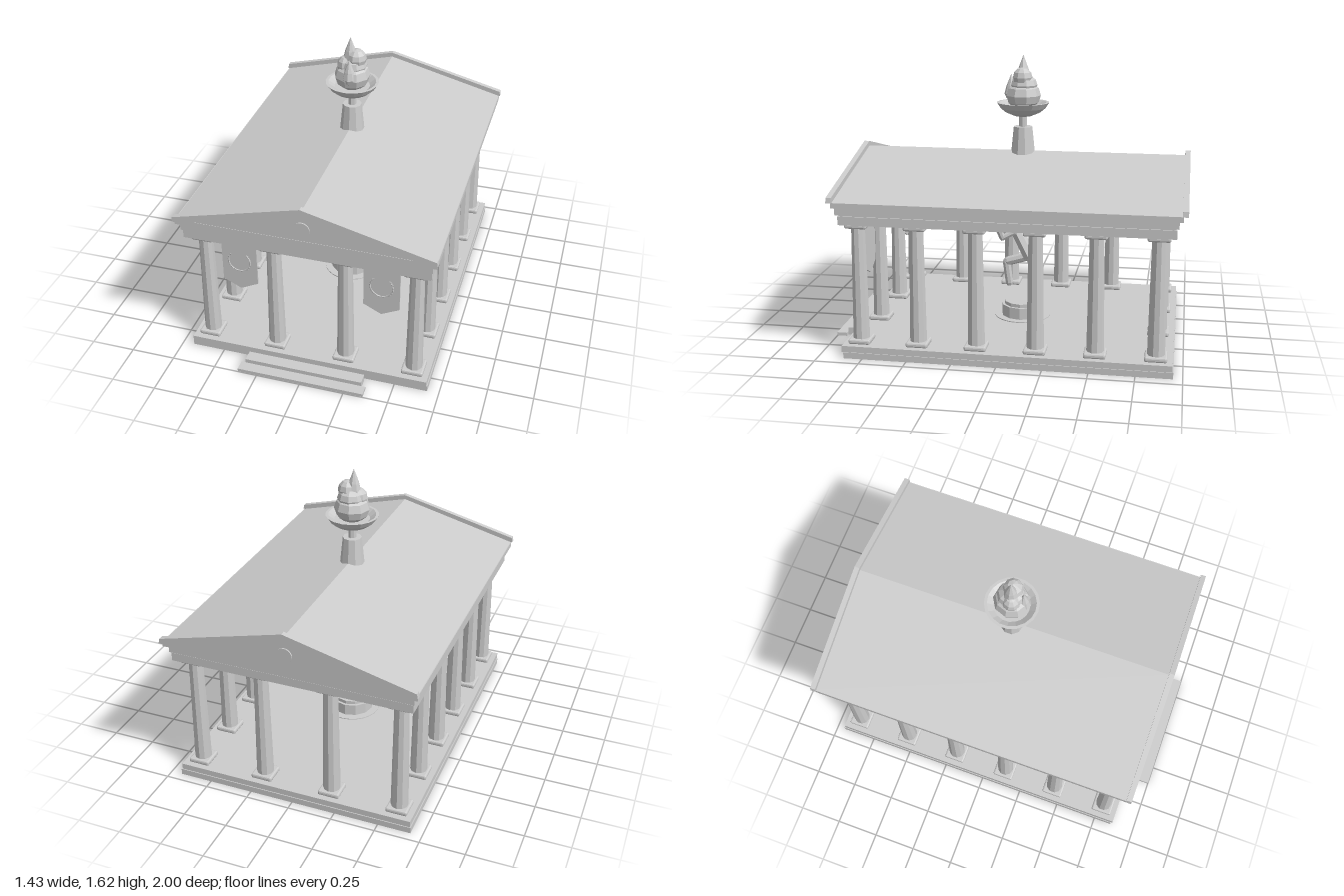
import * as THREE from 'three';
import { RoundedBoxGeometry } from 'three/addons/geometries/RoundedBoxGeometry.js';

export function createModel() {
  const model = new THREE.Group();
  model.name = 'temple';
  const stone = new THREE.MeshStandardMaterial({ color: 0xcccccc, flatShading: true });
  stone.name = 'pale stone';
  const stoneOpen = stone.clone();
  stoneOpen.side = THREE.DoubleSide;

  const add = (name, geometry, x = 0, y = 0, z = 0, parent = model, material = stone) => {
    const mesh = new THREE.Mesh(geometry, material);
    mesh.name = name;
    mesh.position.set(x, y, z);
    parent.add(mesh);
    return mesh;
  };
  // Box given by half width, y range and z range
  const slab = (name, hw, y0, y1, z0, z1) =>
    add(name, new THREE.BoxGeometry(hw * 2, y1 - y0, z1 - z0), 0, (y0 + y1) / 2, (z0 + z1) / 2);
  const drum = (name, rTop, rBottom, y0, y1, z, sides, parent = model) =>
    add(name, new THREE.CylinderGeometry(rTop, rBottom, y1 - y0, sides), 0, (y0 + y1) / 2, z, parent);
  // Outline extruded along +z
  const extrude = (points, depth) => new THREE.ExtrudeGeometry(
    new THREE.Shape(points.map(p => new THREE.Vector2(...p))), { depth, bevelEnabled: false });
  // Tapered or rounded limb between two points
  const limb = (name, a, b, r, parent, rounded = true) => {
    const from = new THREE.Vector3(...a), to = new THREE.Vector3(...b);
    const len = from.distanceTo(to);
    const geo = rounded ? new THREE.CapsuleGeometry(r, len, 2, 8)
      : new THREE.CylinderGeometry(r * 0.8, r, len, 8);
    const mesh = add(name, geo, 0, 0, 0, parent);
    mesh.position.copy(from).lerp(to, 0.5);
    mesh.quaternion.setFromUnitVectors(new THREE.Vector3(0, 1, 0), to.sub(from).normalize());
    return mesh;
  };

  // Platform and front steps
  slab('lowerPlatform', 0.685, 0, 0.035, -0.95, 0.855);
  slab('upperPlatform', 0.68, 0.035, 0.07, -0.945, 0.865);
  slab('lowerStep', 0.36, 0.003, 0.022, 0.94, 1);
  slab('upperStep', 0.335, 0.003, 0.046, 0.875, 0.94);

  // Columns around the edge
  const xs = [-0.59, -0.2, 0.2, 0.59];
  const zs = [0.775, 0.449, 0.123, -0.203, -0.529, -0.855];
  const shaftGeo = new THREE.CylinderGeometry(0.039, 0.048, 0.64, 10);
  const plateGeo = new RoundedBoxGeometry(0.122, 0.028, 0.122, 1, 0.009);
  zs.forEach((z, row) => xs.forEach((x, col) => {
    const endRow = row === 0 || row === zs.length - 1;
    if (!endRow && (col === 1 || col === 2)) return;
    const column = new THREE.Group();
    column.name = 'column';
    column.position.set(x, 0, z);
    model.add(column);
    add('columnBase', plateGeo, 0, 0.084, 0, column);
    add('columnShaft', shaftGeo, 0, 0.415, 0, column);
    add('columnCapital', plateGeo, 0, 0.746, 0, column);
  }));

  // Entablature
  slab('architrave', 0.68, 0.76, 0.808, -0.945, 0.86);
  slab('friezeReveal', 0.672, 0.808, 0.816, -0.94, 0.855);
  slab('frieze', 0.687, 0.816, 0.858, -0.955, 0.873);
  slab('cornice', 0.71, 0.858, 0.888, -0.975, 0.887);

  // Roof, raking cornices and round pediment medallions
  add('roof', extrude([[-0.706, 0.888], [0.706, 0.888], [0, 1.07]], 1.86), 0, 0, -0.975);
  const rake = extrude([[-0.717, 0.888], [-0.66, 0.888], [0, 1.062], [0.66, 0.888],
    [0.717, 0.888], [0.712, 0.916], [0, 1.097], [-0.712, 0.916]], 0.03);
  add('frontRakingCornice', rake, 0, 0, 0.88);
  add('backRakingCornice', rake, 0, 0, -1);
  for (const z of [0.885, -0.975]) {
    add('medallion', new THREE.CylinderGeometry(0.044, 0.044, 0.014, 20), 0, 0.96, z)
      .rotation.x = Math.PI / 2;
  }

  // Banners with open wreaths
  const bannerGeo = extrude([[-0.1, 0.75], [-0.1, 0.465], [0, 0.415], [0.1, 0.465], [0.1, 0.75]], 0.009);
  for (const x of [-0.4, 0.4]) {
    const banner = new THREE.Group();
    banner.name = 'banner';
    banner.position.set(x, 0, 0.771);
    model.add(banner);
    add('bannerCloth', bannerGeo, 0, 0, 0, banner);
    for (const side of [-1, 1]) {
      const arc = add('wreathStem', new THREE.TorusGeometry(0.062, 0.003, 4, 12, 2.3), 0, 0.6, 0.011, banner);
      arc.rotation.z = side > 0 ? -1.5 : Math.PI - 0.8;
      for (let i = 0; i < 8; i++) {
        const a = -1.4 + i * 0.3;
        const leaf = add('wreathLeaf', new THREE.OctahedronGeometry(1),
          side * 0.063 * Math.cos(a), 0.6 + 0.063 * Math.sin(a), 0.011, banner);
        leaf.scale.set(0.006, 0.013, 0.003);
        leaf.rotation.z = side * (a + 0.2);
      }
    }
  }

  // Statue plinth
  const cz = -0.042;
  drum('plinthSurround', 0.165, 0.165, 0.068, 0.075, cz, 24);
  drum('plinth', 0.125, 0.125, 0.07, 0.143, cz, 12);
  drum('plinthTop', 0.11, 0.11, 0.143, 0.163, cz, 12);

  // Running figure
  const statue = new THREE.Group();
  statue.name = 'statue';
  model.add(statue);
  add('head', new THREE.SphereGeometry(0.049, 10, 7), 0, 0.645, 0.035, statue);
  const torso = limb('torso', [0, 0.43, -0.085], [0, 0.595, -0.002], 0.056, statue, false);
  torso.geometry = new THREE.CylinderGeometry(0.05, 0.055, 0.18, 8);
  torso.scale.z = 0.75;
  for (const s of [-1, 1]) {
    limb('upperArm', [s * 0.05, 0.59, 0], [s * 0.06, 0.555, 0.07], 0.018, statue);
    limb('forearm', [s * 0.06, 0.555, 0.07], [s * 0.082, 0.625, 0.095], 0.019, statue);
  }
  limb('raisedThigh', [-0.028, 0.425, -0.075], [-0.035, 0.385, 0.055], 0.027, statue);
  limb('raisedShin', [-0.035, 0.38, 0.062], [-0.04, 0.252, 0.045], 0.024, statue);
  limb('standingThigh', [0.032, 0.3, -0.14], [0.03, 0.44, -0.085], 0.028, statue, false).rotateX(0);
  limb('standingShin', [0.034, 0.16, -0.1], [0.032, 0.305, -0.14], 0.027, statue, false);

  // Rooftop brazier
  drum('brazierPedestal', 0.054, 0.072, 1.03, 1.21, cz, 10);
  drum('brazierStem', 0.024, 0.024, 1.2, 1.285, cz, 8);
  const bowl = [[0, 1.27], [0.05, 1.272], [0.1, 1.293], [0.13, 1.318], [0.151, 1.35], [0.135, 1.35], [0.1, 1.325], [0, 1.32]];
  add('brazierBowl', new THREE.LatheGeometry(bowl.map(p => new THREE.Vector2(...p)), 18), 0, 0, cz, model, stoneOpen);

  // Flames: rounded lobes and pointed tongues
  const lobe = (x, y, z, rx, ry) => add('flameLobe', new THREE.SphereGeometry(1, 9, 6), x, y, cz + z)
    .scale.set(rx, ry, rx);
  lobe(0, 1.39, 0, 0.102, 0.085);
  lobe(0.005, 1.45, -0.005, 0.078, 0.06);
  lobe(0.025, 1.495, 0, 0.057, 0.057);
  lobe(-0.035, 1.45, 0.01, 0.05, 0.06);
  const tongue = [[0, 0], [0.03, 0.02], [0.042, 0.05], [0.03, 0.1], [0, 0.18]].map(p => new THREE.Vector2(...p));
  const tongueGeo = new THREE.LatheGeometry(tongue, 8);
  add('tallFlame', tongueGeo, -0.01, 1.44, cz);
  add('frontFlame', tongueGeo, 0.002, 1.355, cz + 0.068).scale.set(0.95, 0.87, 0.95);

  return model;
}
